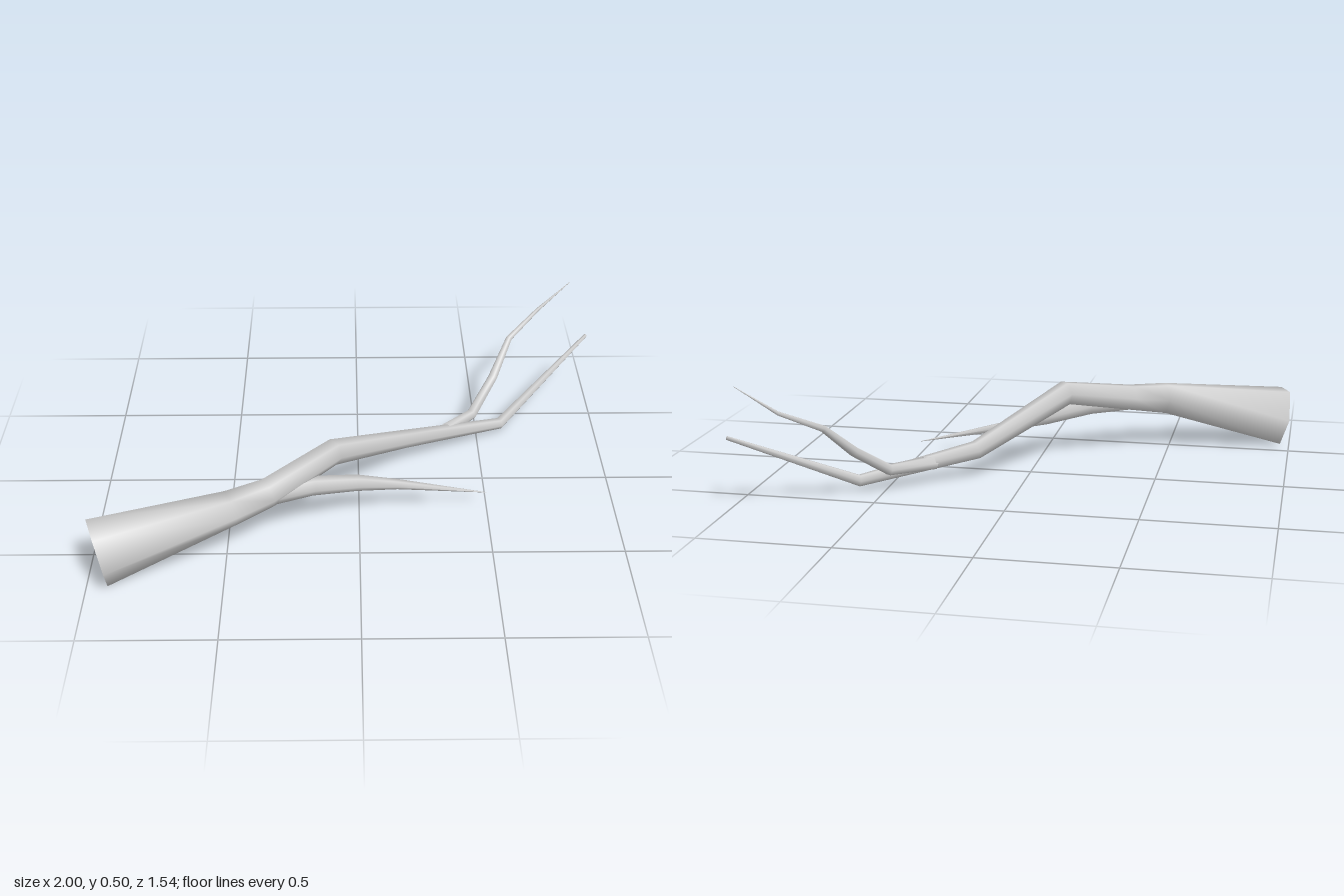
import * as THREE from 'three';

const SIDES = 6;
const material = new THREE.MeshStandardMaterial({ color: 0xcccccc, side: THREE.DoubleSide });
const UP = new THREE.Vector3(0, 1, 0);

// Hexagonal ring of points around a centre, square to the direction of growth
function ring(center, tangent, radius) {
  const side = new THREE.Vector3().crossVectors(tangent, UP).normalize();
  const up = new THREE.Vector3().crossVectors(side, tangent).normalize();
  return Array.from({ length: SIDES }, (_, i) => {
    const a = (i / SIDES) * Math.PI * 2 - 0.07;
    return center.clone()
      .addScaledVector(side, radius * Math.cos(a))
      .addScaledVector(up, radius * Math.sin(a));
  });
}

// Skin over successive rings
function loft(name, rings, flat = false) {
  const index = [];
  for (let i = 0; i < rings.length - 1; i++) {
    for (let j = 0; j < SIDES; j++) {
      const k = (j + 1) % SIDES;
      const a = i * SIDES + j, b = i * SIDES + k;
      const c = a + SIDES, d = b + SIDES;
      index.push(a, c, b, b, c, d);
    }
  }
  let geometry = new THREE.BufferGeometry().setFromPoints(rings.flat());
  geometry.setIndex(index);
  if (flat) geometry = geometry.toNonIndexed();
  geometry.computeVertexNormals();
  const mesh = new THREE.Mesh(geometry, material);
  mesh.name = name;
  return mesh;
}

// Stations are [x, y, z, radius]; each ring halves the bend at its station
function limbRings(stations) {
  const points = stations.map(([x, y, z]) => new THREE.Vector3(x, y, z));
  const last = points.length - 1;
  const tangents = points.map((p, i) => {
    const t = new THREE.Vector3();
    if (i > 0) t.add(p.clone().sub(points[i - 1]).normalize());
    if (i < last) t.add(points[i + 1].clone().sub(p).normalize());
    return t.normalize();
  });
  const rings = points.map((p, i) => ring(p, tangents[i], stations[i][3]));
  rings.push(ring(points[last], tangents[last], 0)); // close the tip
  return { rings, points, tangents };
}

export function createModel() {
  const group = new THREE.Group();
  group.name = 'branch';

  // Main limb, thick at the broken end
  const main = limbRings([
    [-0.96, 0.12, 0.645, 0.13],
    [-0.48, 0.21, 0.495, 0.068],
    [-0.345, 0.225, 0.42, 0.057],
    [-0.1, 0.28, 0.225, 0.051],
    [0.195, 0.12, -0.12, 0.037],
    [0.6, 0.043, -0.36, 0.024],
    [0.992, 0.284, -0.692, 0.008],
  ]);
  group.add(loft('mainLimb', main.rings));

  // Hollow broken end: rim, short inner wall and floor
  const start = main.points[0], dir = main.tangents[0];
  const floor = start.clone().addScaledVector(dir, 0.04);
  group.add(loft('hollowEnd', [
    ring(floor, dir, 0),
    ring(floor, dir, 0.095),
    ring(start, dir, 0.108),
    ring(start, dir, 0.13),
  ], true));

  // Drooping side twig
  group.add(loft('lowerTwig', limbRings([
    [-0.36, 0.215, 0.425, 0.042],
    [-0.18, 0.202, 0.338, 0.038],
    [-0.01, 0.163, 0.262, 0.032],
    [0.15, 0.127, 0.22, 0.02],
    [0.5, 0.055, 0.175, 0.001],
  ]).rings));

  // Rising twig near the end
  group.add(loft('upperTwig', limbRings([
    [0.34, 0.088, -0.21, 0.029],
    [0.48, 0.092, -0.355, 0.023],
    [0.575, 0.195, -0.485, 0.02],
    [0.65, 0.315, -0.61, 0.014],
    [0.78, 0.395, -0.72, 0.008],
    [0.92, 0.5, -0.775, 0.001],
  ]).rings));

  return group;
}
